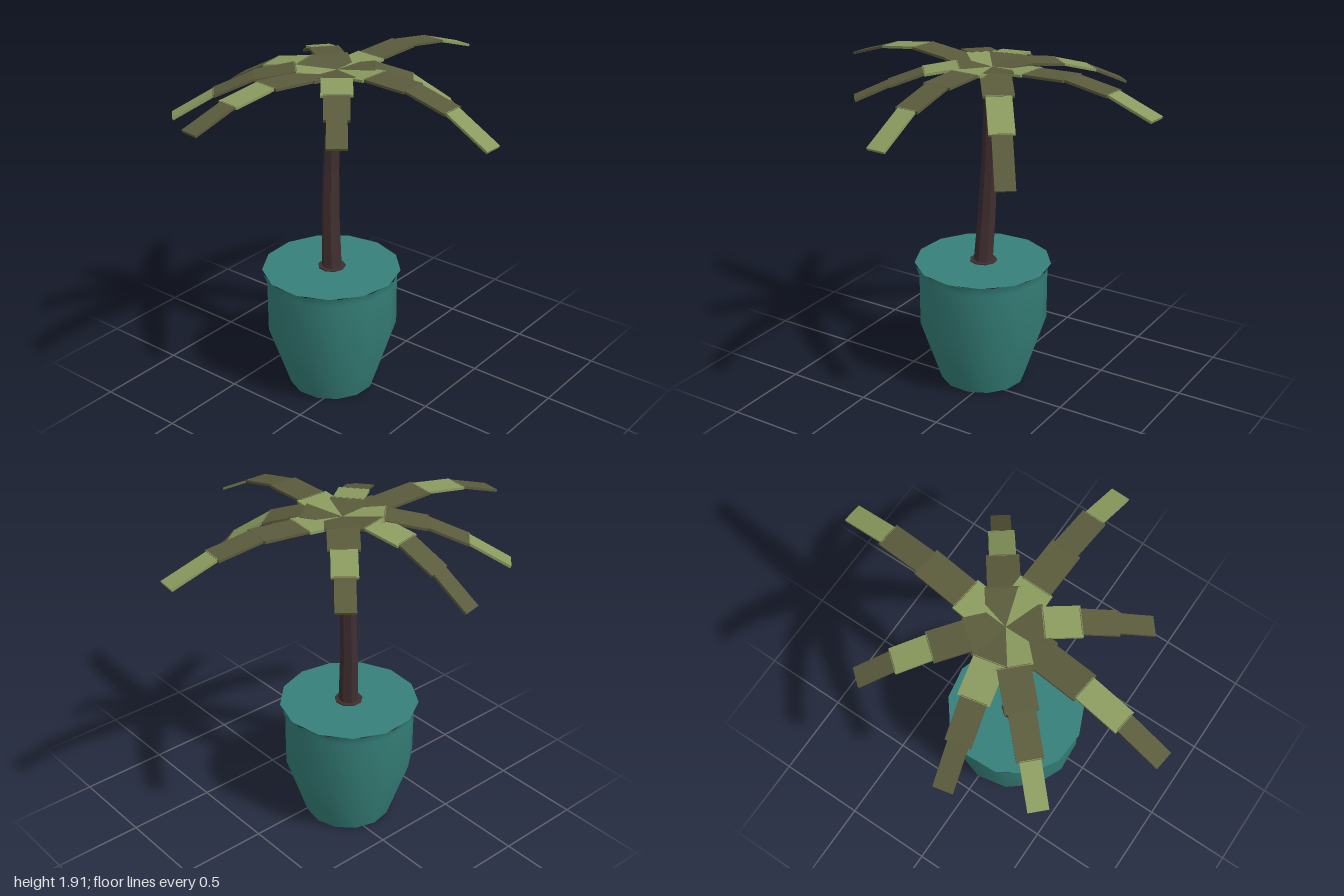
import * as THREE from 'three';

const teal = new THREE.MeshStandardMaterial({ color: 0x368079 });
teal.name = 'teal glaze';
const bark = new THREE.MeshStandardMaterial({ color: 0x402e30, flatShading: true });
bark.name = 'dark bark';
const lightLeaf = new THREE.MeshStandardMaterial({ color: 0x8a9a5e });
lightLeaf.name = 'light leaf green';
const darkLeaf = new THREE.MeshStandardMaterial({ color: 0x5a5a3c });
darkLeaf.name = 'dark olive';

const THICK = 0.014;
const WIDTHS = [0.19, 0.165, 0.135, 0.106];
const CROWN = new THREE.Vector3(-0.02, 1.865, -0.11);

// tip x, tip z, heights at the four joints, colour of each segment (L light, D dark)
const FRONDS = [
  ['right', 0.99, 0.0, [1.885, 1.9, 1.865, 1.78], 'LDDL'],
  ['left', -0.995, -0.23, [1.885, 1.905, 1.87, 1.79], 'DDLD'],
  ['front', -0.055, 0.89, [1.89, 1.885, 1.825, 1.69], 'LDDL'],
  ['back', -0.18, -0.89, [1.89, 1.855, 1.75, 1.6], 'DLDD'],
  ['backLeft', -0.625, -0.73, [1.89, 1.855, 1.77, 1.65], 'LDDL'],
  ['backRight', 0.465, -0.69, [1.89, 1.87, 1.82, 1.735], 'DDLD'],
  ['frontRight', 0.455, 0.535, [1.885, 1.825, 1.69, 1.47], 'DDLD'],
  ['frontLeft', -0.59, 0.35, [1.885, 1.86, 1.8, 1.725], 'DLDD'],
];

function named(geometry, material, name) {
  const mesh = new THREE.Mesh(geometry, material);
  mesh.name = name;
  return mesh;
}

// Pot wall with flared rim, closed top and base
function makePot() {
  const pot = new THREE.Group();
  pot.name = 'pot';
  const sides = 13;
  const phi = THREE.MathUtils.degToRad(94);
  const profile = [[0.245, 0], [0.367, 0.37], [0.367, 0.67], [0.388, 0.728]]
    .map(([r, y]) => new THREE.Vector2(r, y));
  pot.add(named(new THREE.LatheGeometry(profile, sides, phi), teal, 'potWall'));

  const start = THREE.MathUtils.degToRad(-4);
  const top = named(new THREE.CircleGeometry(0.388, sides, start), teal, 'potTop');
  top.rotation.x = -Math.PI / 2;
  top.position.y = 0.728;
  const base = named(new THREE.CircleGeometry(0.245, sides, -start), teal, 'potBase');
  base.rotation.x = Math.PI / 2;
  pot.add(top, base);
  pot.position.set(-0.08, 0, -0.11);
  return pot;
}

// Bent, tapering trunk: a cylinder whose rings follow a curve
function makeTrunk() {
  const path = new THREE.QuadraticBezierCurve3(
    new THREE.Vector3(-0.077, 0.72, -0.11),
    new THREE.Vector3(-0.05, 1.3, -0.155),
    new THREE.Vector3(-0.027, 1.865, -0.105));
  const geometry = new THREE.CylinderGeometry(0.035, 0.056, 1, 7, 4);
  const p = geometry.attributes.position;
  for (let i = 0; i < p.count; i++) {
    const c = path.getPoint(THREE.MathUtils.clamp(p.getY(i) + 0.5, 0, 1));
    p.setXYZ(i, p.getX(i) + c.x, c.y, p.getZ(i) + c.z);
  }
  geometry.computeVertexNormals();
  return named(geometry, bark, 'trunk');
}

// Frond: four flat, narrowing blades bending over towards the tip
function makeFrond([name, tipX, tipZ, heights, colours]) {
  const frond = new THREE.Group();
  frond.name = name + 'Frond';
  const joints = [CROWN, ...heights.map((y, i) => {
    const t = (i + 1) / 4;
    return new THREE.Vector3(
      THREE.MathUtils.lerp(CROWN.x, tipX, t), y, THREE.MathUtils.lerp(CROWN.z, tipZ, t));
  })];
  for (let i = 0; i < 4; i++) {
    const along = joints[i + 1].clone().sub(joints[i]);
    const length = along.length();
    const z = along.normalize();
    const x = new THREE.Vector3(0, 1, 0).cross(z).normalize();
    const y = z.clone().cross(x);
    const blade = named(new THREE.BoxGeometry(WIDTHS[i], THICK, length + 0.006),
      colours[i] === 'L' ? lightLeaf : darkLeaf, 'blade');
    blade.quaternion.setFromRotationMatrix(new THREE.Matrix4().makeBasis(x, y, z));
    blade.position.copy(joints[i]).lerp(joints[i + 1], 0.5).addScaledVector(y, -THICK / 2);
    frond.add(blade);
  }
  return frond;
}

export function createModel() {
  const model = new THREE.Group();
  model.name = 'pottedPalm';
  model.add(makePot(), makeTrunk());

  // Small collar where the trunk leaves the pot
  const collar = named(new THREE.CylinderGeometry(0.078, 0.078, 0.008, 9), bark, 'trunkCollar');
  collar.position.set(-0.077, 0.73, -0.11);
  model.add(collar);

  const crown = new THREE.Group();
  crown.name = 'crown';
  FRONDS.forEach((f) => crown.add(makeFrond(f)));
  model.add(crown);
  return model;
}
